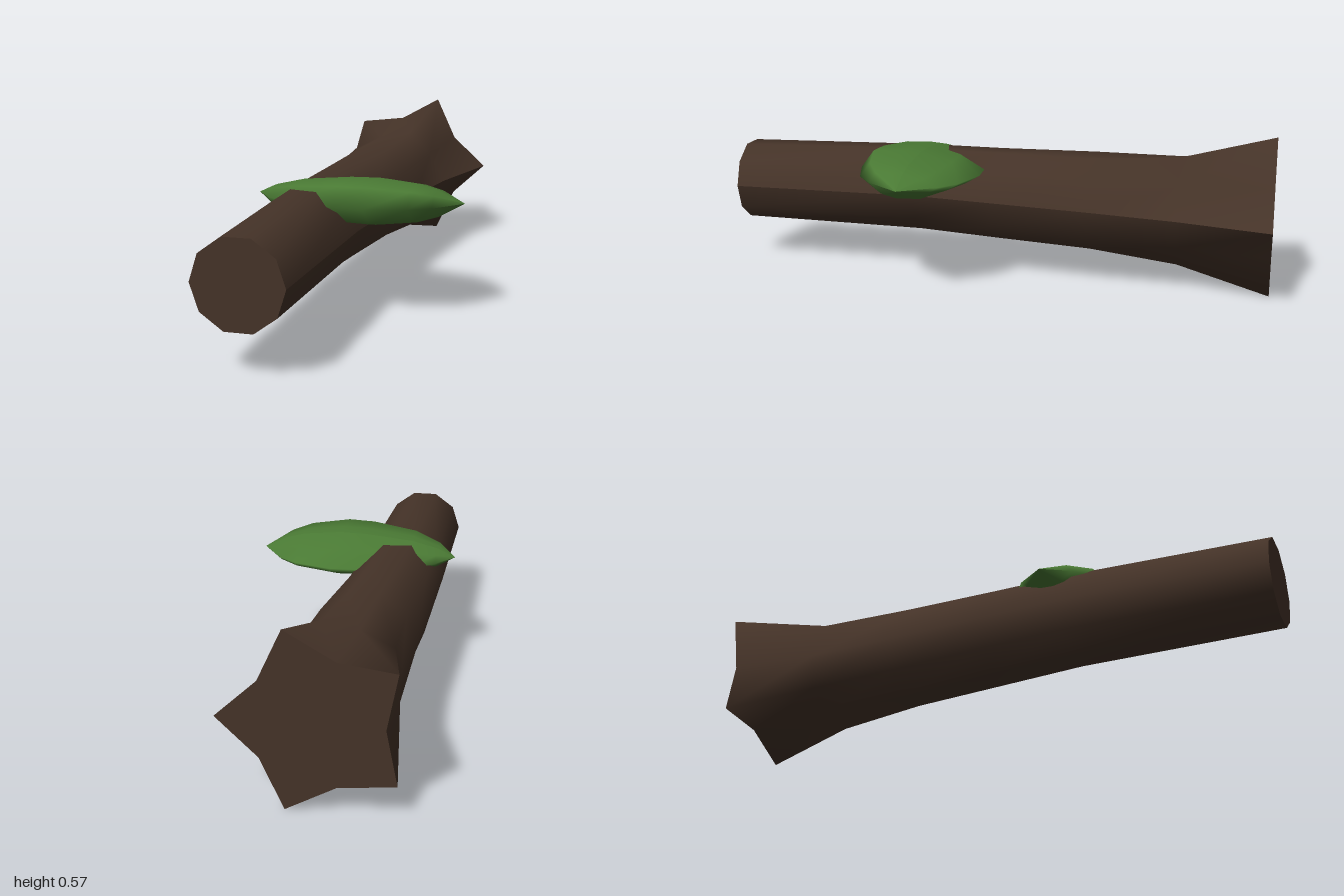
import * as THREE from 'three';

// Skin a list of rings (points counter-clockwise around the direction of travel).
function loft(rings, capped) {
  const pos = [], index = [], n = rings[0].length;
  rings.forEach((r) => [...r, r[0]].forEach((p) => pos.push(...p)));
  for (let i = 0; i < rings.length - 1; i++) {
    for (let j = 0; j < n; j++) {
      const a = i * (n + 1) + j, c = a + n + 1;
      index.push(a, a + 1, c, a + 1, c + 1, c);
    }
  }
  // Flat end caps with their own vertices
  if (capped) {
    [rings[0], rings[rings.length - 1]].forEach((r, end) => {
      const base = pos.length / 3;
      const mid = [0, 1, 2].map((k) => r.reduce((s, p) => s + p[k], 0) / n);
      [mid, ...r].forEach((p) => pos.push(...p));
      for (let j = 0; j < n; j++) {
        const a = base + 1 + j, b = base + 1 + ((j + 1) % n);
        if (end) index.push(base, a, b);
        else index.push(base, b, a);
      }
    });
  }
  const g = new THREE.BufferGeometry();
  g.setAttribute('position', new THREE.Float32BufferAttribute(pos, 3));
  g.setIndex(index);
  g.computeVertexNormals();
  return g;
}

export function createModel() {
  const bark = new THREE.MeshStandardMaterial({ name: 'bark brown', color: 0x453328 });
  const green = new THREE.MeshStandardMaterial({ name: 'leaf green', color: 0x4a7a34 });
  const group = new THREE.Group();
  group.name = 'logWithLeaf';

  // Log: ten sides, flaring to a five-pointed root end; [z, centre x, centre y, outer r, inner r]
  const logRings = [
    [-1, -0.104, 0.286, 0.3, 0.208],
    [-0.67, -0.117, 0.279, 0.207, 0.185],
    [-0.35, -0.128, 0.282, 0.177, 0.181],
    [0, -0.148, 0.288, 0.171, 0.167],
    [0.3, -0.155, 0.295, 0.163, 0.16],
    [1, -0.15, 0.291, 0.151, 0.151],
  ].map(([z, cx, cy, outer, inner]) => Array.from({ length: 10 }, (_, j) => {
    const a = (j * Math.PI) / 5, r = j % 2 ? inner : outer;
    return [cx + r * Math.cos(a), cy + r * Math.sin(a), z];
  }));
  const log = new THREE.Mesh(loft(logRings, true), bark);
  log.name = 'log';
  group.add(log);

  // Leaf: one lopsided section [y, z] swelling and tapering along x, passing through the log
  const section = [
    [0.073, 0], [0.078, 0.06], [0.073, 0.175], [0.01, 0.222], [-0.06, 0.13],
    [-0.08, 0.05], [-0.075, -0.05], [-0.03, -0.17], [0, -0.22], [0.045, -0.12],
  ];
  const leafRings = [
    [-0.365, 0], [-0.3, 0.42], [-0.2, 0.75], [-0.03, 0.97],
    [0.07, 1], [0.21, 0.81], [0.28, 0.56], [0.365, 0],
  ].map(([x, s]) => section.map(([y, z]) => [x, 0.4 + y * s, 0.248 + z * s]));
  const leaf = new THREE.Mesh(loft(leafRings, false), green);
  leaf.name = 'leaf';
  group.add(leaf);

  return group;
}
